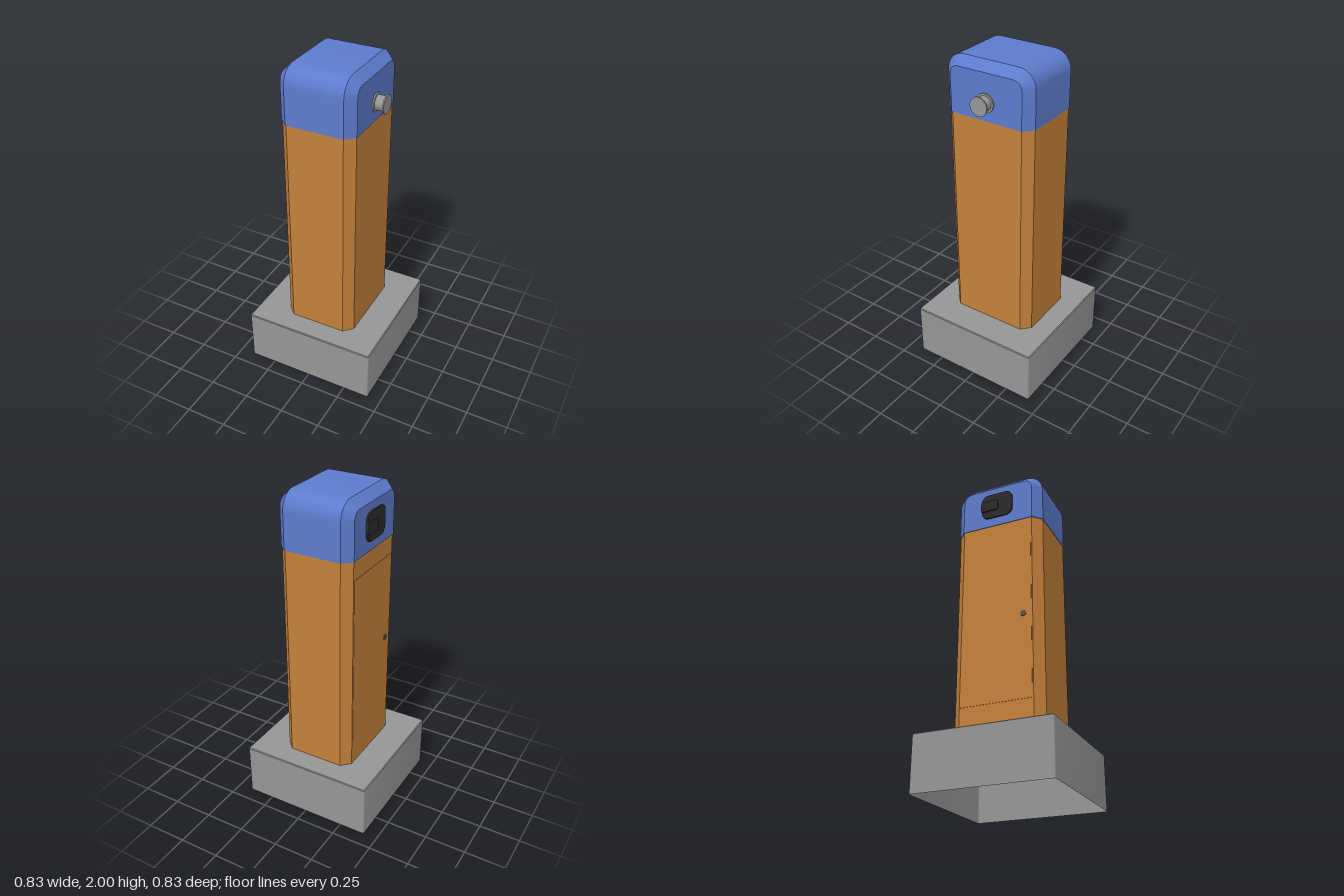
import * as THREE from 'three';
import { toCreasedNormals } from 'three/addons/utils/BufferGeometryUtils.js';

const mat = (name, color, side = THREE.FrontSide) => {
  const m = new THREE.MeshStandardMaterial({ color, side });
  m.name = name;
  return m;
};

// Skin a series of convex closed rings, with optional end faces
function loft(rings, closeStart = true, closeEnd = true) {
  const pos = [];
  const tri = (...pts) => pts.forEach((p) => pos.push(p.x, p.y, p.z));
  const centre = (r) => r.reduce((s, p) => s.add(p), new THREE.Vector3()).divideScalar(r.length);
  const n = rings[0].length;
  const first = rings[0], last = rings[rings.length - 1];
  for (let j = 0; j < n; j++) {
    const k = (j + 1) % n;
    for (let i = 0; i < rings.length - 1; i++) {
      const a = rings[i], b = rings[i + 1];
      tri(a[j], a[k], b[k]);
      tri(a[j], b[k], b[j]);
    }
    if (closeStart) tri(centre(first), first[k], first[j]);
    if (closeEnd) tri(centre(last), last[j], last[k]);
  }
  const g = new THREE.BufferGeometry();
  g.setAttribute('position', new THREE.Float32BufferAttribute(pos, 3));
  return toCreasedNormals(g, 0.5);
}

// Horizontal rectangle with cut (seg = 1) or rounded corners; w, d are half sizes
function ring(y, w, d, cx, cz, seg = 1) {
  const pts = [];
  [[1, 1], [1, -1], [-1, -1], [-1, 1]].forEach(([sx, sz], k) => {
    for (let i = 0; i <= seg; i++) {
      // quarter turns swap the two corner sizes' roles only by direction
      const a = (k + i / seg) * Math.PI / 2;
      pts.push(new THREE.Vector3(
        sx * (w - cx) + Math.sin(a) * cx, y, sz * (d - cz) + Math.cos(a) * cz));
    }
  });
  return pts;
}

// Upright arch profile with rounded top corners at a given x
function arch(x, halfDepth, bottom, top, r, seg = 8) {
  const pts = [new THREE.Vector3(x, bottom, -halfDepth)];
  for (const s of [-1, 1]) {
    for (let i = 0; i <= seg; i++) {
      const a = ((s < 0 ? -1 : 0) + i / seg) * Math.PI / 2;
      pts.push(new THREE.Vector3(
        x, top - r + Math.cos(a) * r, s * (halfDepth - r) + Math.sin(a) * r));
    }
  }
  pts.push(new THREE.Vector3(x, bottom, halfDepth));
  return pts;
}

export function createModel() {
  const model = new THREE.Group();
  model.name = 'pedestal';
  const concrete = mat('concrete grey', 0x969696, THREE.DoubleSide);
  const orange = mat('orange paint', 0xc4813a);
  const blue = mat('blue paint', 0x5d7bcd);
  const metal = mat('metal grey', 0x969696);
  const black = mat('black plastic', 0x2b2b2b);
  const dark = mat('dark metal', 0x555555);

  const add = (name, geometry, material, parent = model) => {
    const m = new THREE.Mesh(geometry, material);
    m.name = name;
    parent.add(m);
    return m;
  };

  // Hollow base, open underneath
  add('base', loft([
    ring(0, 0.413, 0.413, 0.01, 0.01, 4),
    ring(0.328, 0.413, 0.413, 0.01, 0.01, 4),
    ring(0.333, 0.408, 0.408, 0.007, 0.007, 4),
  ], false, true), concrete);

  // Column with cut corners
  add('column', loft([
    ring(0.333, 0.225, 0.279, 0.052, 0.052),
    ring(1.7, 0.225, 0.279, 0.052, 0.052),
  ]), orange);

  // Rounded cap with bevelled sides
  add('cap', loft([
    arch(-0.229, 0.23, 1.672, 1.948, 0.053),
    arch(-0.176, 0.282, 1.672, 2, 0.105),
    arch(0.176, 0.282, 1.672, 2, 0.105),
    arch(0.229, 0.23, 1.672, 1.948, 0.053),
  ]), blue);

  // Access door and its lock on the -x side
  const door = add('door', new THREE.BoxGeometry(0.004, 1.05, 0.44), orange);
  door.position.set(-0.2255, 1.035, 0);
  const lock = add('doorLock', new THREE.CylinderGeometry(0.018, 0.018, 0.008, 20), dark);
  lock.rotation.z = Math.PI / 2;
  lock.position.set(-0.2275, 1.03, 0.17);

  // Socket with a raised latch on the -x side
  const socket = new THREE.Group();
  socket.name = 'socket';
  socket.rotation.z = Math.PI / 2;
  socket.position.set(-0.229, 1.815, 0);
  model.add(socket);
  add('socketBody', loft([
    ring(-0.002, 0.085, 0.103, 0.045, 0.045, 4),
    ring(0.01, 0.085, 0.103, 0.045, 0.045, 4),
  ]), black, socket);
  const latch = add('socketLatch', loft([
    ring(0.01, 0.036, 0.057, 0.012, 0.012, 3),
    ring(0.018, 0.036, 0.057, 0.012, 0.012, 3),
  ]), black, socket);
  latch.position.z = -0.047;

  // Flanged outlet on the +x side
  const outlet = new THREE.Group();
  outlet.name = 'outlet';
  outlet.rotation.z = -Math.PI / 2;
  outlet.position.set(0.229, 1.78, 0);
  model.add(outlet);
  for (const [name, r, from, to] of [
    ['innerFlange', 0.055, 0, 0.008],
    ['outletPipe', 0.043, 0.008, 0.058],
    ['outerFlange', 0.055, 0.058, 0.066],
  ]) {
    const part = add(name, new THREE.CylinderGeometry(r, r, to - from, 32), metal, outlet);
    part.position.y = (from + to) / 2;
  }
  return model;
}
